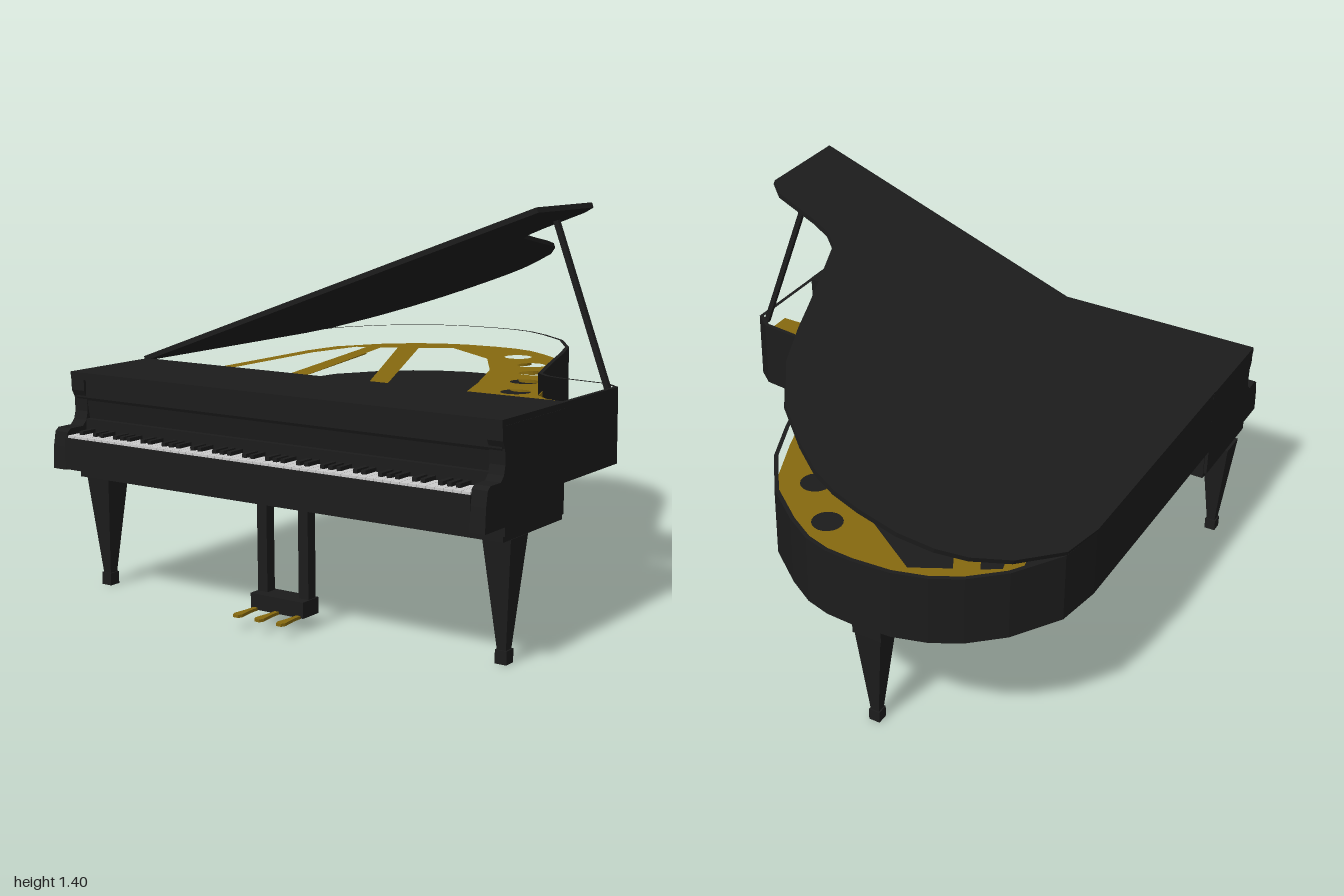
import * as THREE from 'three';

const paint = (color) => new THREE.MeshStandardMaterial({ color, roughness: 0.6 });
const black = paint(0x1c1c1c), gold = paint(0x86690f), white = paint(0xe8e8e8);

// Case outline as [x, z], from the bass corner round the tail to the treble arm
const outline = [
  [-0.887, 0.52], [-0.887, -0.46], [-0.86, -0.63], [-0.75, -0.8], [-0.64, -0.9], [-0.54, -0.955],
  [-0.42, -0.99], [-0.28, -1], [-0.18, -0.995], [-0.09, -0.97], [0.01, -0.91], [0.15, -0.8],
  [0.27, -0.63], [0.34, -0.46], [0.39, -0.32], [0.45, -0.16], [0.52, 0.02], [0.57, 0.06],
  [0.64, 0.08], [0.82, 0.1], [0.882, 0.15], [0.882, 0.52],
];

function add(parent, name, geometry, material, x = 0, y = 0, z = 0) {
  const mesh = new THREE.Mesh(geometry, material);
  mesh.name = name;
  mesh.position.set(x, y, z);
  parent.add(mesh);
  return mesh;
}

// Box given by its low and high corners
function box(parent, name, [x0, y0, z0], [x1, y1, z1], material = black) {
  return add(parent, name, new THREE.BoxGeometry(x1 - x0, y1 - y0, z1 - z0), material,
    (x0 + x1) / 2, (y0 + y1) / 2, (z0 + z1) / 2);
}

const toVectors = (points) => points.map(([x, z]) => new THREE.Vector2(x, -z));

// Horizontal slab: a plan of [x, z] points with holes, raised by a thickness
function slab(points, thickness, holes = []) {
  const shape = new THREE.Shape(toVectors(points));
  shape.holes = holes.map((h) => new THREE.Path(toVectors(h)));
  return new THREE.ExtrudeGeometry(shape, { depth: thickness, bevelEnabled: false }).rotateX(-Math.PI / 2);
}

// Side profile of [z, y] points, extruded between two x positions
function sideProfile(points, x0, x1) {
  const shape = new THREE.Shape(points.map(([z, y]) => new THREE.Vector2(-z, y)));
  return new THREE.ExtrudeGeometry(shape, { depth: x1 - x0, bevelEnabled: false })
    .rotateY(Math.PI / 2).translate(x0, 0, 0);
}

// Moves each corner of a closed plan inward by d
function inset(points, d) {
  const n = points.length;
  return points.map(([x, z], i) => {
    const [ax, az] = points[(i + n - 1) % n], [bx, bz] = points[(i + 1) % n];
    const u = new THREE.Vector2(x - ax, z - az).normalize();
    const v = new THREE.Vector2(bx - x, bz - z).normalize();
    const k = d / (1 + u.dot(v));
    return [x - (u.y + v.y) * k, z + (u.x + v.x) * k];
  });
}

// Square tapered post
function taper(top, bottom, height) {
  return new THREE.CylinderGeometry(top * Math.SQRT2, bottom * Math.SQRT2, height, 4, 1)
    .rotateY(Math.PI / 4).toNonIndexed();
}

function addLeg(parent, name, x, z, top) {
  const leg = new THREE.Group();
  leg.name = name;
  leg.position.set(x, 0, z);
  const geometry = taper(0.052, 0.016, 0.37);
  geometry.computeVertexNormals();
  add(leg, 'legShaft', geometry, black, 0, 0.225, 0);
  box(leg, 'legFoot', [-0.021, 0, -0.021], [0.021, 0.045, 0.021]);
  if (top > 0.41) {
    box(leg, 'legCollar', [-0.056, 0.4, -0.056], [0.056, 0.47, 0.056]);
    box(leg, 'legBlock', [-0.054, 0.47, -0.054], [0.054, top, 0.054]);
  }
  parent.add(leg);
}

function addPlate(parent) {
  const edge = inset(outline, 0.012).slice(1, -1);
  const plan = [[-0.875, 0.3], ...edge, [0.87, 0.3]];
  const openings = [
    [[-0.82, 0.17], [-0.82, -0.42], [-0.77, -0.66], [-0.73, -0.68], [-0.52, 0.17]],
    [[-0.44, 0.17], [-0.67, -0.7], [-0.61, -0.74], [-0.13, 0.17]],
    [[-0.05, 0.17], [-0.53, -0.78], [-0.4, -0.85], [-0.12, -0.66], [0.05, -0.4], [0.18, -0.1], [0.28, 0.17]],
  ];
  // Round sound holes follow the curved side
  for (const [cx, cz] of [[0.4, 0], [0.31, -0.22], [0.23, -0.42], [0.12, -0.6], [-0.04, -0.77]]) {
    openings.push(Array.from({ length: 20 }, (_, i) => {
      const a = (i / 20) * Math.PI * 2;
      return [cx + 0.055 * Math.cos(a), cz + 0.055 * Math.sin(a)];
    }));
  }
  add(parent, 'ironPlate', slab(plan, 0.03, openings), gold, 0, 0.68, 0);
}

function addKeyboard(parent) {
  const keys = new THREE.Group();
  keys.name = 'keyboard';
  const count = 52, pitch = 1.65 / count;
  const whiteKey = new THREE.BoxGeometry(pitch - 0.0015, 0.018, 0.09);
  const blackKey = new THREE.BoxGeometry(0.016, 0.02, 0.07);
  for (let i = 0; i < count; i++) {
    const x = -0.825 + (i + 0.5) * pitch;
    add(keys, 'whiteKey', whiteKey, white, x, 0.571, 0.944);
    // Sharps sit after A, C, D, F and G
    if (i < count - 1 && [0, 2, 3, 5, 6].includes(i % 7)) {
      add(keys, 'blackKey', blackKey, black, x + pitch / 2, 0.583, 0.92);
    }
  }
  parent.add(keys);
}

function addPedals(parent) {
  const lyre = new THREE.Group();
  lyre.name = 'pedalLyre';
  for (const s of [-1, 1]) {
    box(lyre, 'lyrePost', [s * 0.086 - 0.02, 0.09, 0.8], [s * 0.086 + 0.02, 0.42, 0.84]);
  }
  box(lyre, 'lyreBox', [-0.11, 0.045, 0.79], [0.11, 0.1, 0.875]);
  const pedal = slab([[-0.008, 0.8], [0.008, 0.8], [0.009, 0.91], [0.017, 0.965],
    [0.01, 0.98], [-0.01, 0.98], [-0.017, 0.965], [-0.009, 0.91]], 0.01);
  for (const x of [-0.09, 0, 0.09]) add(lyre, 'pedal', pedal, gold, x, 0.043, 0);
  parent.add(lyre);
}

export function createModel() {
  const piano = new THREE.Group();
  piano.name = 'grandPiano';

  // Curved case: floor and thin rim
  add(piano, 'caseFloor', slab(outline, 0.06), black, 0, 0.53, 0);
  add(piano, 'caseRim', slab(outline, 0.2, [inset(outline, 0.015)]), black, 0, 0.59, 0);
  addPlate(piano);

  // Front case with a recess between the cheeks
  add(piano, 'frontCase', sideProfile([[0.515, 0.41], [0.88, 0.41], [0.88, 0.46], [0.87, 0.5],
    [0.87, 0.6], [0.885, 0.69], [0.89, 0.7], [0.89, 0.766], [0.515, 0.766]], -0.875, 0.875), black);
  const cheek = [[0.52, 0.43], [0.885, 0.43], [0.885, 0.46], [1, 0.46], [0.995, 0.54], [0.985, 0.59], [0.97, 0.602],
    [0.91, 0.602], [0.893, 0.62], [0.885, 0.65], [0.887, 0.7], [0.9, 0.725], [0.9, 0.77], [0.52, 0.77]];
  add(piano, 'leftCheek', sideProfile(cheek, 0.828, 0.884), black);
  add(piano, 'rightCheek', sideProfile(cheek, -0.887, -0.828), black);
  box(piano, 'frontLid', [-0.888, 0.764, 0.515], [0.883, 0.79, 0.902]);
  box(piano, 'keyBed', [-0.83, 0.462, 0.86], [0.83, 0.56, 0.99]);
  box(piano, 'keySlip', [-0.83, 0.462, 0.988], [0.83, 0.572, 0.998]);
  box(piano, 'fallboard', [-0.83, 0.57, 0.86], [0.83, 0.625, 0.893]);
  addKeyboard(piano);

  // Raised lid, hinged along the straight side
  const hinge = new THREE.Group();
  hinge.name = 'lidHinge';
  hinge.position.set(-0.885, 0.782, 0);
  hinge.rotation.z = THREE.MathUtils.degToRad(19.8);
  add(hinge, 'lid', slab(outline, 0.018), black, 0.887, 0, 0);
  piano.add(hinge);

  // Lid prop
  const foot = new THREE.Vector2(0.865, 0.76), head = new THREE.Vector2(0.655, 1.335);
  const span = head.clone().sub(foot);
  const prop = add(piano, 'lidProp', new THREE.BoxGeometry(0.018, span.length(), 0.018), black,
    (foot.x + head.x) / 2, (foot.y + head.y) / 2, 0.175);
  prop.rotation.z = span.angle() - Math.PI / 2;

  addLeg(piano, 'frontLeftLeg', 0.825, 0.785, 0.41);
  addLeg(piano, 'frontRightLeg', -0.836, 0.785, 0.41);
  addLeg(piano, 'rearLeg', -0.27, -0.845, 0.54);
  addPedals(piano);
  return piano;
}
